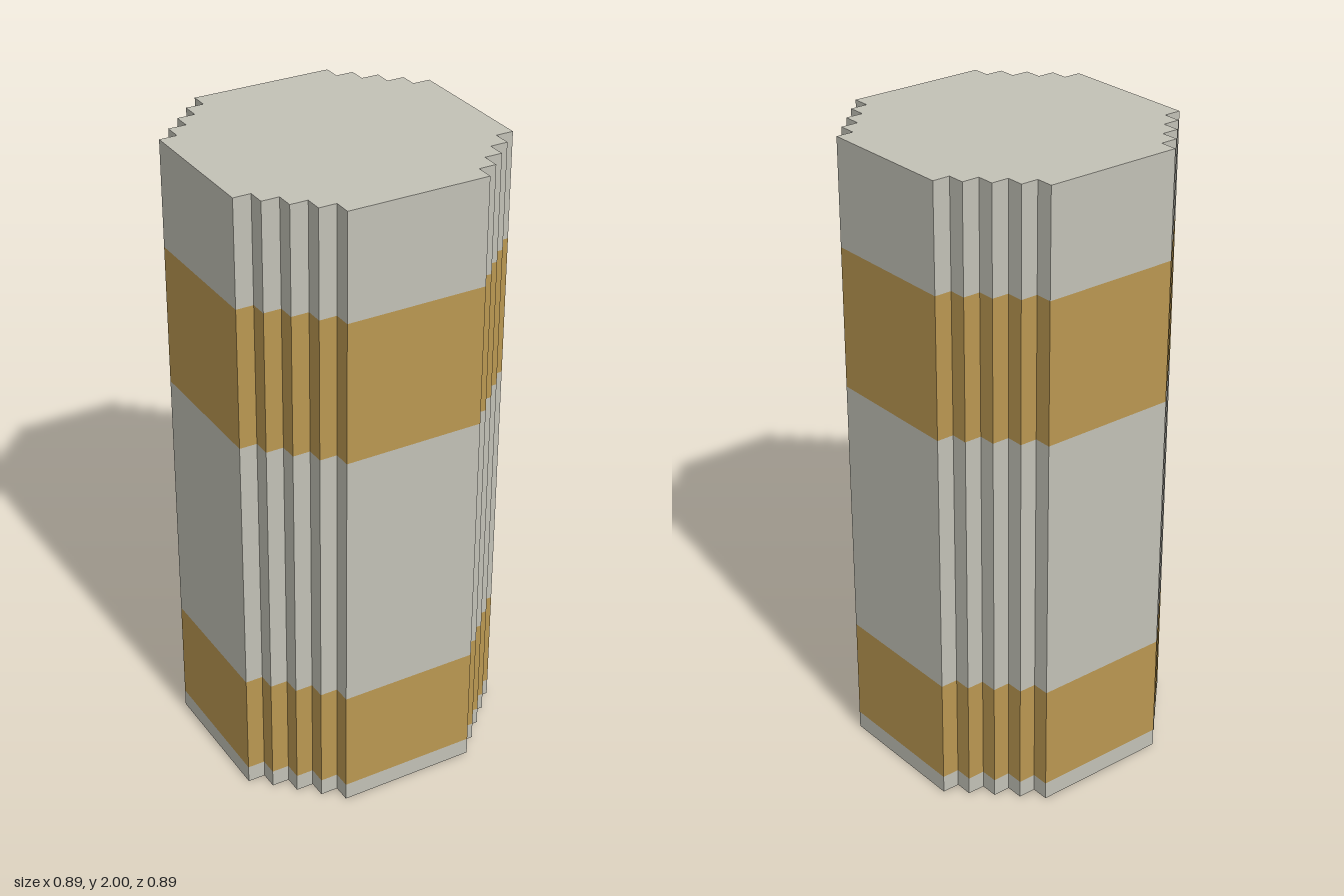
import * as THREE from 'three';

const U = 1 / 18; // one block unit

// Stepped round outline, one quarter turned four times (counter-clockwise)
function outline() {
  const quarter = [[8, 4], [7, 4], [7, 5], [6, 5], [6, 6], [5, 6], [5, 7], [4, 7], [4, 8]];
  const points = [];
  for (let turn = 0; turn < 4; turn++) {
    for (const [a, b] of quarter) {
      const [x, y] = [[a, b], [-b, a], [-a, -b], [b, -a]][turn];
      points.push(new THREE.Vector2(x * U, y * U));
    }
  }
  return points;
}

// Open wall following the outline between two heights
function wallGeometry(points, y0, y1) {
  const pos = [];
  points.forEach((a, i) => {
    const b = points[(i + 1) % points.length];
    pos.push(a.x, y0, -a.y, b.x, y0, -b.y, b.x, y1, -b.y);
    pos.push(a.x, y0, -a.y, b.x, y1, -b.y, a.x, y1, -a.y);
  });
  const geometry = new THREE.BufferGeometry();
  geometry.setAttribute('position', new THREE.Float32BufferAttribute(pos, 3));
  geometry.computeVertexNormals();
  return geometry;
}

export function createModel() {
  const group = new THREE.Group();
  group.name = 'bandedColumn';
  const stone = new THREE.MeshStandardMaterial({ color: 0xc2c1b6 });
  stone.name = 'paleStone';
  const gold = new THREE.MeshStandardMaterial({ color: 0xba9751 });
  gold.name = 'ochre';

  const points = outline();
  const add = (name, geometry, material) => {
    const mesh = new THREE.Mesh(geometry, material);
    mesh.name = name;
    group.add(mesh);
    return mesh;
  };

  // Stacked wall sections, alternating stone and ochre
  const sections = [
    ['baseWall', 0, 1, stone],
    ['lowerBand', 1, 7, gold],
    ['middleWall', 7, 22, stone],
    ['upperBand', 22, 30, gold],
    ['topWall', 30, 36, stone],
  ];
  for (const [name, y0, y1, material] of sections) {
    add(name, wallGeometry(points, y0 * U, y1 * U), material);
  }

  // Flat end faces
  const shape = new THREE.Shape(points);
  add('topFace', new THREE.ShapeGeometry(shape).rotateX(-Math.PI / 2), stone).position.y = 36 * U;
  add('bottomFace', new THREE.ShapeGeometry(shape).rotateX(Math.PI / 2), stone);

  return group;
}
